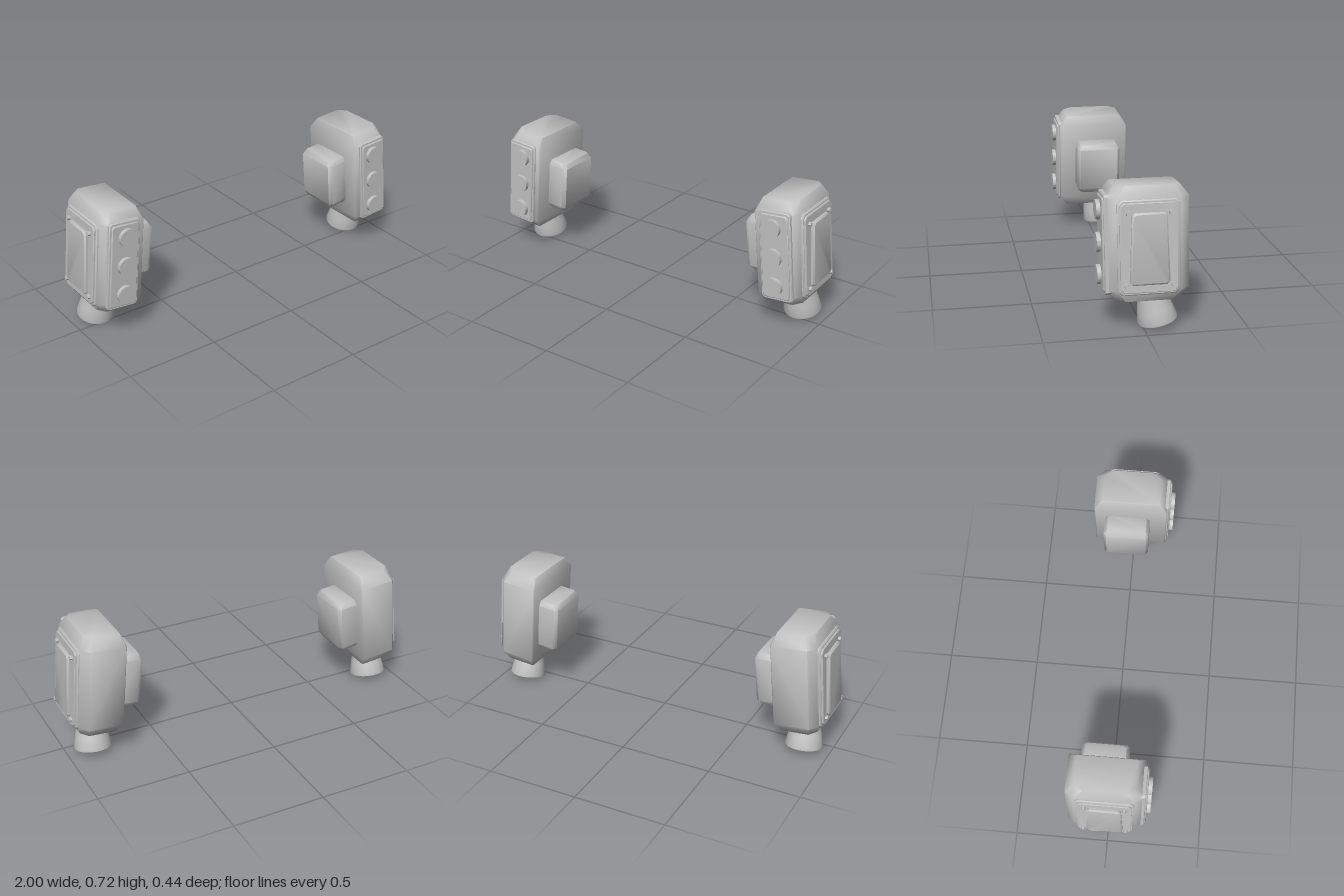
import * as THREE from 'three';
import { toCreasedNormals } from 'three/addons/utils/BufferGeometryUtils.js';

const TILT = 0.087;

// Chamfered rectangle in x/z at height y; ci and co are chamfers on the -x and +x ends
function ring(y, hx, hz, ci, co = ci, taper = 0) {
  const pts = [
    [-hx + ci[0], hz], [hx - co[0], hz], [hx, hz - co[1]], [hx, -hz + co[1]],
    [hx - co[0], -hz], [-hx + ci[0], -hz], [-hx, -hz + ci[1]], [-hx, hz - ci[1]],
  ];
  return pts.map(([x, z]) => [x, y, z * (1 + taper * x)]);
}

// Closed solid through a stack of rings, bottom to top
function loft(rings) {
  const n = rings[0].length, index = [], last = (rings.length - 1) * n;
  for (let r = 0; r < rings.length - 1; r++) {
    for (let i = 0; i < n; i++) {
      const a = r * n + i, b = r * n + (i + 1) % n;
      index.push(a, b, b + n, a, b + n, a + n);
    }
  }
  for (let i = 1; i < n - 1; i++) {
    index.push(0, i + 1, i, last, last + i, last + i + 1);
  }
  const g = new THREE.BufferGeometry();
  g.setAttribute('position', new THREE.Float32BufferAttribute(rings.flat(2), 3));
  g.setIndex(index);
  return g;
}

// Low raised plate with a bevelled rim
function plate(hx, hz, depth, bevel, c, taper = 0) {
  const e = [c, c];
  return loft([
    ring(-0.02, hx, hz, e, e, taper),
    ring(depth - bevel, hx, hz, e, e, taper),
    ring(depth, hx - bevel, hz - bevel, e, e, taper),
  ]);
}

// Mirror a geometry across x, keeping its faces outward
function mirrorX(g) {
  g.scale(-1, 1, 1);
  const p = g.attributes.position;
  const a = new THREE.Vector3(), b = new THREE.Vector3();
  for (let i = 0; i < p.count; i += 3) {
    a.fromBufferAttribute(p, i + 1);
    b.fromBufferAttribute(p, i + 2);
    p.setXYZ(i + 1, b.x, b.y, b.z);
    p.setXYZ(i + 2, a.x, a.y, a.z);
  }
}

function buildPod(side, material) {
  const pod = new THREE.Group();
  pod.name = side > 0 ? 'leftPod' : 'rightPod';
  const add = (name, geometry, crease = 0.6) => {
    let g = geometry.index ? geometry.toNonIndexed() : geometry;
    g.deleteAttribute('uv');
    g.deleteAttribute('normal');
    if (side < 0) mirrorX(g);
    g = toCreasedNormals(g, crease);
    const mesh = new THREE.Mesh(g, material);
    mesh.name = name;
    pod.add(mesh);
  };
  const outward = (g, x, y, z) => g.rotateZ(-Math.PI / 2).translate(x, y, z);
  const forward = (g, x, y, z) => g.rotateX(Math.PI / 2).translate(x, y, z);

  // Main housing: crisp inner edges, softened outer edges, bevelled ends
  const inner = [0.006, 0.006], outer = [0.035, 0.045];
  add('housing', loft([
    ring(-0.281, 0.094, 0.157, inner, outer),
    ring(-0.224, 0.116, 0.2, inner, outer),
    ring(0.224, 0.116, 0.2, inner, outer),
    ring(0.281, 0.094, 0.157, inner, outer),
  ]).translate(0, 0, -0.017), 1.0);

  // Block on the inner side
  const soft = [0.018, 0.014], sharp = [0.004, 0.004];
  add('innerBlock', loft([
    ring(-0.148, 0.055, 0.108, soft, sharp),
    ring(-0.122, 0.07, 0.125, soft, sharp),
    ring(0.122, 0.07, 0.125, soft, sharp),
    ring(0.148, 0.055, 0.108, soft, sharp),
  ]).translate(-0.161, -0.014, -0.035), 0.9);

  // Layered cover on the outer side
  add('sidePlate', outward(plate(0.23, 0.151, 0.013, 0.006, 0.02), 0.115, -0.012, -0.014));
  add('sidePlateFace', outward(plate(0.217, 0.141, 0.01, 0.003, 0.018), 0.128, -0.012, -0.014));
  add('sidePanel', outward(plate(0.174, 0.091, 0.019, 0.008, 0.014, 0.38), 0.137, -0.014, -0.014));
  for (const [y, z] of [[0.16, 0.088], [0.16, -0.117], [-0.19, 0.098], [-0.19, -0.126]]) {
    add('bolt', outward(new THREE.CylinderGeometry(0.011, 0.013, 0.02, 6), 0.142, y, z));
  }

  // Front plate with three round caps
  add('frontPlate', forward(plate(0.088, 0.242, 0.011, 0.004, 0.012), 0, -0.003, 0.182));
  add('frontPlateFace', forward(plate(0.077, 0.228, 0.009, 0.004, 0.01), 0, -0.003, 0.192));
  for (const y of [0.156, -0.003, -0.162]) {
    add('frontCap', forward(new THREE.CylinderGeometry(0.048, 0.048, 0.03, 32), -0.007, y, 0.206));
  }

  // Hollow flared nozzle, raked backward
  const profile = [
    [0, -0.03], [0.055, -0.03], [0.074, -0.09], [0.089, -0.135], [0.093, -0.14],
    [0.099, -0.138], [0.1, -0.128], [0.088, -0.07], [0.073, -0.005], [0.068, 0.03],
  ].map(([x, y]) => new THREE.Vector2(x, y));
  add('nozzle', new THREE.LatheGeometry(profile, 32)
    .rotateX(0.22).rotateZ(-0.06).translate(0.005, -0.272, -0.048), 0.8);

  pod.rotation.z = side * TILT;
  pod.position.set(side * 0.828, 0.434, 0);
  return pod;
}

export function createModel() {
  const model = new THREE.Group();
  model.name = 'thrusterPods';
  const grey = new THREE.MeshStandardMaterial({ color: 0xc0c0c0 });
  grey.name = 'lightGrey';
  for (const side of [1, -1]) model.add(buildPod(side, grey));
  return model;
}
